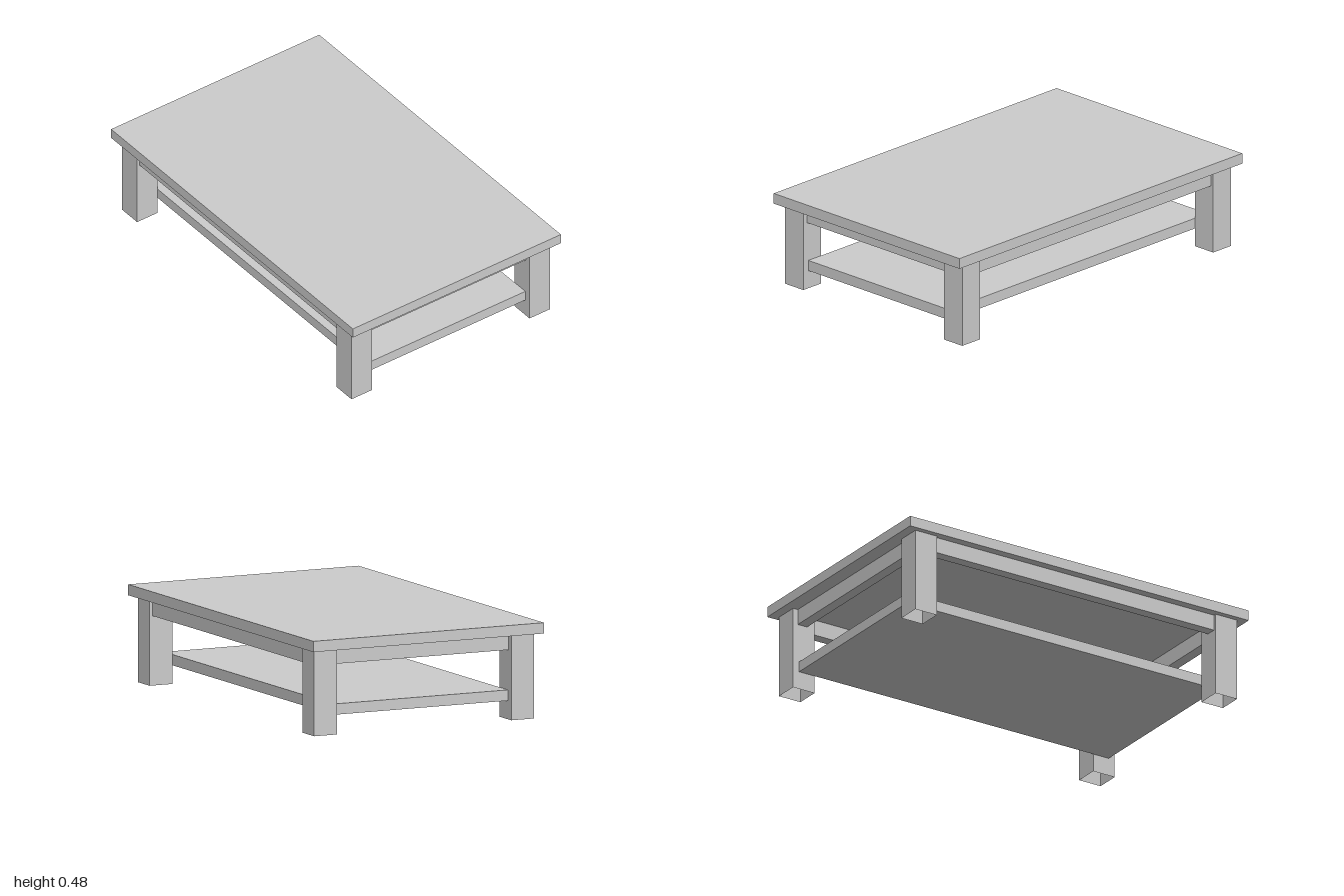
import * as THREE from 'three';

const material = new THREE.MeshStandardMaterial({ color: 0xcccccc, flatShading: true });
const hollow = new THREE.MeshStandardMaterial({ color: 0xcccccc, flatShading: true, side: THREE.DoubleSide });

export function createModel() {
  const table = new THREE.Group();
  table.name = 'coffeeTable';

  // Board given by its size, centre and bottom height
  function board(name, w, h, d, x, bottom, z) {
    const mesh = new THREE.Mesh(new THREE.BoxGeometry(w, h, d), material);
    mesh.name = name;
    mesh.position.set(x, bottom + h / 2, z);
    table.add(mesh);
  }

  board('tabletop', 1.276, 0.054, 2, 0, 0.429, 0);
  board('shelf', 0.966, 0.054, 1.83, 0, 0.093, 0);

  // Square legs, open at the bottom: four walls and no end caps
  const legGeometry = new THREE.CylinderGeometry(0.063 * Math.SQRT2, 0.063 * Math.SQRT2, 0.43, 4, 1, true);
  legGeometry.rotateY(Math.PI / 4);
  for (const sx of [-1, 1]) {
    for (const sz of [-1, 1]) {
      const leg = new THREE.Mesh(legGeometry, hollow);
      leg.name = (sz > 0 ? 'front' : 'back') + (sx > 0 ? 'Left' : 'Right') + 'Leg';
      leg.position.set(sx * 0.546, 0.215, sz * 0.887);
      table.add(leg);
    }
  }

  // Aprons between the legs
  for (const s of [-1, 1]) {
    board(s > 0 ? 'leftApron' : 'rightApron', 0.055, 0.081, 1.65, s * 0.567, 0.348, 0);
    board(s > 0 ? 'frontApron' : 'backApron', 0.966, 0.081, 0.055, 0, 0.348, s * 0.895);
  }

  return table;
}
